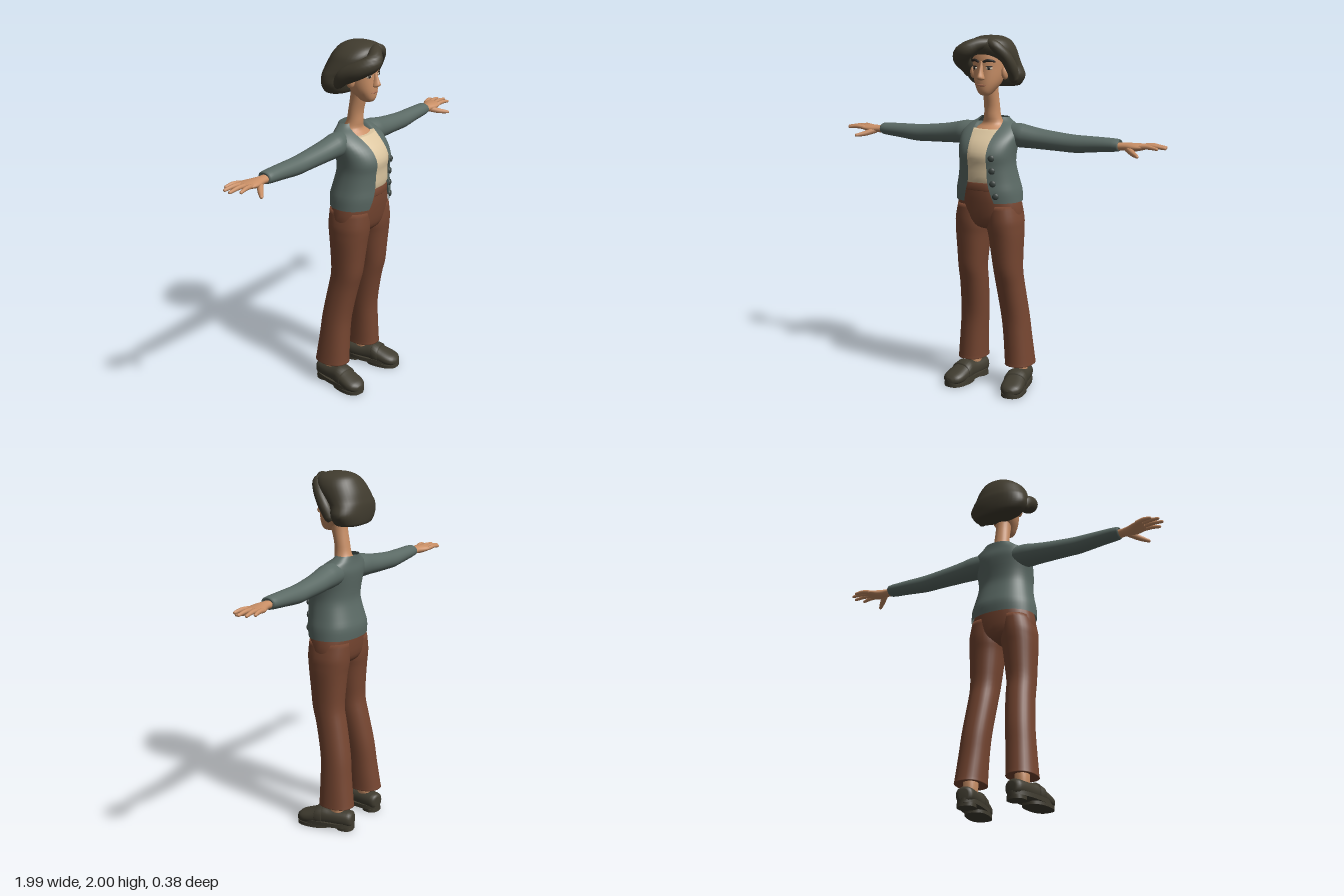
import * as THREE from 'three';
import { mergeVertices, toCreasedNormals } from 'three/addons/utils/BufferGeometryUtils.js';

const mat = (name, color, side = THREE.FrontSide) => {
  const m = new THREE.MeshStandardMaterial({ color, side });
  m.name = name;
  return m;
};

// Smooth in-between rows through a short list of key rows
function smoothRows(rows, steps) {
  const out = [];
  for (let i = 0; i < rows.length - 1; i++) {
    const p = rows[Math.max(i - 1, 0)], q = rows[i], r = rows[i + 1], s = rows[Math.min(i + 2, rows.length - 1)];
    for (let k = 0; k < steps; k++) {
      const t = k / steps;
      out.push(q.map((b, c) => {
        const cubic = 3 * (b - r[c]) + s[c] - p[c];
        const square = 2 * p[c] - 5 * b + 4 * r[c] - s[c];
        return b + 0.5 * t * (r[c] - p[c] + t * (square + t * cubic));
      }));
    }
  }
  out.push(rows[rows.length - 1]);
  return out;
}

// Skin a list of equal-length point rings; closed rings get end caps
function skin(rings, closed = true) {
  const n = rings[0].length, pos = rings.flat(2), idx = [];
  const cols = closed ? n : n - 1;
  for (let i = 0; i < rings.length - 1; i++) for (let j = 0; j < cols; j++) {
    const a = i * n + j, b = i * n + (j + 1) % n;
    idx.push(a, b, b + n, a, b + n, a + n);
  }
  if (closed) [0, rings.length - 1].forEach((i) => {
    const c = pos.length / 3;
    pos.push(...[0, 1, 2].map((k) => rings[i].reduce((sum, p) => sum + p[k], 0) / n));
    for (let j = 0; j < n; j++) {
      const a = i * n + j, b = i * n + (j + 1) % n;
      idx.push(...(i ? [a, b, c] : [b, a, c]));
    }
  });
  const g = new THREE.BufferGeometry();
  g.setAttribute('position', new THREE.Float32BufferAttribute(pos, 3));
  g.setIndex(idx);
  g.computeVertexNormals();
  return g;
}

// Loft of rounded ovals up the y axis; row = [y, cx, cz, rx, rz, optional half width of front opening]
function loft(rows, { steps = 3, n = 28, e = 0.88 } = {}) {
  const open = rows[0].length > 5;
  const pw = (v) => Math.sign(v) * Math.abs(v) ** e;
  const rings = smoothRows(rows, steps).map(([y, cx, cz, rx, rz, w]) => {
    const a0 = open ? Math.asin(Math.min(1, (w / rx) ** (1 / e))) : 0;
    return Array.from({ length: n }, (_, j) => {
      const a = open ? a0 + (2 * Math.PI - 2 * a0) * j / (n - 1) : 2 * Math.PI * j / n;
      return [cx + rx * pw(Math.sin(a)), y, cz + rz * pw(Math.cos(a))];
    });
  });
  return skin(rings, !open);
}
// Loft along x; row = [x, cy, cz, ry, rz]
const loftX = (rows, o) => loft(rows.map(([x, cy, ...r]) => [x, -cy, ...r]), o).rotateZ(-Math.PI / 2);
// Loft along z; row = [z, cy, rx, ry]
const loftZ = (rows, o) => loft(rows.map(([z, cy, rx, ry]) => [z, 0, -cy, rx, ry]), o).rotateX(Math.PI / 2);

// Tapered rounded strand; point = [x, y, z, radius]
function strand(points, n = 12) {
  const keys = smoothRows(points, 5);
  const at = (i) => new THREE.Vector3(...keys[Math.max(0, Math.min(i, keys.length - 1))].slice(0, 3));
  const rings = [];
  keys.forEach((k, i) => {
    const dir = at(i + 1).sub(at(i - 1)).normalize();
    const u = new THREE.Vector3(0, 1, 0).addScaledVector(dir, -dir.y).normalize();
    const v = new THREE.Vector3().crossVectors(dir, u);
    const ring = (r, shift) => Array.from({ length: n }, (_, j) => {
      const a = 2 * Math.PI * j / n;
      return at(i).addScaledVector(u, r * Math.cos(a)).addScaledVector(v, r * Math.sin(a)).addScaledVector(dir, shift).toArray();
    });
    const r = k[3];
    if (i === 0) rings.push(ring(r * 0.6, -r * 0.6));
    rings.push(ring(r, 0));
    if (i === keys.length - 1) rings.push(ring(r * 0.6, r * 0.6));
  });
  return skin(rings);
}

const blob = (x, y, z, rx, ry, rz, yaw = 0) =>
  new THREE.SphereGeometry(1, 18, 12).scale(rx, ry, rz).rotateY(yaw).translate(x, y, z);

function mirrored(geometry) {
  const g = geometry.index ? geometry.clone() : mergeVertices(geometry);
  g.applyMatrix4(new THREE.Matrix4().makeScale(-1, 1, 1));
  const a = g.index.array;
  for (let i = 0; i < a.length; i += 3) [a[i], a[i + 1]] = [a[i + 1], a[i]];
  return g;
}

export function createModel() {
  const model = new THREE.Group();
  const skinM = mat('skin', 0xc98f66), knit = mat('cardigan grey green', 0x5b6a65, THREE.DoubleSide);
  const cream = mat('shirt cream', 0xdcc6a0), brown = mat('trouser brown', 0x764631, THREE.DoubleSide);
  const hairM = mat('hair', 0x413c2f), leather = mat('shoe leather', 0x403c30);
  const dark = mat('brow and eye dark', 0x2b2520), white = mat('eye white', 0xd6c5ae);
  const lip = mat('lips', 0xa66a50), buttonM = mat('buttons', 0x39423f);
  const add = (name, g, m) => {
    const mesh = new THREE.Mesh(g, m);
    mesh.name = name;
    model.add(mesh);
  };
  const pair = (name, g, m) => {
    add(name + 'Left', g, m);
    add(name + 'Right', mirrored(g), m);
  };

  // Torso clothing
  const torso = [
    [1.10, 0, 0, 0.19, 0.14, 0.092], [1.16, 0, 0.003, 0.186, 0.147, 0.075], [1.22, 0, 0.01, 0.172, 0.139, 0.06],
    [1.30, 0, 0.022, 0.158, 0.131, 0.057], [1.36, 0, 0.025, 0.16, 0.136, 0.057], [1.42, 0, 0.008, 0.168, 0.127, 0.06],
    [1.47, 0, -0.018, 0.172, 0.105, 0.068], [1.51, 0, -0.04, 0.15, 0.076, 0.08], [1.535, 0, -0.055, 0.108, 0.058, 0.075],
    [1.555, 0, -0.062, 0.082, 0.05, 0.062]];
  add('cardigan', loft(torso, { n: 44 }), knit);
  const shirt = torso.slice(2, 7).map(([y, x, z, rx, rz]) => [y, x, z, rx - 0.014, rz - 0.012]);
  add('shirt', loft([[1.17, 0, 0.004, 0.13, 0.11], ...shirt, [1.492, 0, -0.026, 0.12, 0.079]]), cream);
  [[0.086, 1.35, 0.147], [0.086, 1.28, 0.14], [0.09, 1.21, 0.137], [0.104, 1.14, 0.13]].forEach(([x, y, z], i) =>
    add('button' + (i + 1), blob(x, y, z, 0.018, 0.018, 0.009, 0.35), buttonM));
  pair('sleeve', loftX([
    [0.08, 1.465, -0.045, 0.06, 0.06], [0.17, 1.46, -0.04, 0.066, 0.068], [0.22, 1.455, -0.042, 0.061, 0.065],
    [0.3, 1.446, -0.048, 0.055, 0.06], [0.42, 1.437, -0.053, 0.05, 0.053], [0.5, 1.433, -0.055, 0.048, 0.05],
    [0.62, 1.438, -0.057, 0.041, 0.046], [0.735, 1.442, -0.057, 0.033, 0.042], [0.737, 1.442, -0.057, 0.02, 0.025]],
  { e: 1 }), knit);

  // Trousers
  add('trouserHips', loft([
    [0.935, 0, -0.005, 0.03, 0.04], [0.955, 0, -0.004, 0.11, 0.09], [1.0, 0, -0.004, 0.185, 0.117],
    [1.1, 0, 0, 0.181, 0.13], [1.16, 0, 0.004, 0.155, 0.131], [1.2, 0, 0.006, 0.14, 0.129]]), brown);
  add('waistband', loft([[1.165, 0, 0.005, 0.148, 0.13], [1.17, 0, 0.005, 0.152, 0.136],
    [1.205, 0, 0.006, 0.143, 0.135], [1.21, 0, 0.006, 0.135, 0.125]], { steps: 1 }), brown);
  pair('trouserLeg', loft([
    [0.15, 0.152, -0.086, 0.05, 0.05], [0.138, 0.152, -0.086, 0.079, 0.098], [0.16, 0.151, -0.085, 0.08, 0.099],
    [0.3, 0.141, -0.076, 0.077, 0.089], [0.43, 0.13, -0.066, 0.077, 0.085], [0.6, 0.117, -0.033, 0.077, 0.086],
    [0.7, 0.113, -0.01, 0.078, 0.09], [0.8, 0.108, -0.005, 0.085, 0.098], [0.9, 0.104, -0.003, 0.093, 0.108],
    [0.95, 0.099, -0.003, 0.098, 0.115], [1.0, 0.097, -0.003, 0.098, 0.119], [1.08, 0.088, -0.003, 0.09, 0.118]]), brown);
  pair('ankle', loft([[0.06, 0.153, -0.092, 0.038, 0.045], [0.2, 0.152, -0.088, 0.038, 0.042]], { steps: 1 }), skinM);

  // Loafers, turned slightly outward
  const shoe = (name, g) => pair(name, g.rotateY(0.17).translate(0.155, 0, -0.09), leather);
  shoe('shoeUpper', loftZ([
    [-0.1, 0.06, 0.025, 0.03], [-0.085, 0.063, 0.047, 0.044], [-0.03, 0.063, 0.054, 0.047], [0.03, 0.063, 0.055, 0.05],
    [0.08, 0.065, 0.058, 0.055], [0.13, 0.055, 0.063, 0.046], [0.18, 0.045, 0.063, 0.038], [0.215, 0.04, 0.05, 0.029],
    [0.235, 0.035, 0.02, 0.015]]));
  shoe('shoeStrap', loftZ([[0.075, 0.065, 0.056, 0.052], [0.08, 0.066, 0.063, 0.06], [0.118, 0.06, 0.066, 0.054],
    [0.123, 0.058, 0.06, 0.045]], { steps: 1 }));
  const slab = (y0, y1, z, rx, rz) => toCreasedNormals(
    loft([[y0, 0, z, rx, rz], [y1, 0, z, rx, rz]], { steps: 1, e: 0.8 }), 0.7);
  shoe('shoeSole', slab(0.018, 0.042, 0.068, 0.066, 0.17));
  shoe('shoeHeel', slab(0, 0.02, -0.052, 0.05, 0.048));
  shoe('shoeForesole', slab(0, 0.02, 0.135, 0.065, 0.1));

  // Hands
  pair('palm', loftX([
    [0.72, 1.435, -0.058, 0.022, 0.028], [0.77, 1.437, -0.058, 0.021, 0.03], [0.81, 1.436, -0.061, 0.023, 0.042],
    [0.845, 1.438, -0.068, 0.02, 0.052], [0.88, 1.441, -0.073, 0.014, 0.052], [0.893, 1.442, -0.073, 0.006, 0.045]],
  { e: 1 }), skinM);
  [[-0.114, 0.945, -0.131], [-0.089, 0.981, -0.106], [-0.061, 0.99, -0.065], [-0.034, 0.96, -0.02]].forEach(([z0, x1, z1], i) =>
    pair('finger' + (i + 1), strand([[0.86, 1.441, z0, 0.012], [(0.86 + x1) / 2, 1.446, (z0 + z1) / 2, 0.0115], [x1, 1.44, z1, 0.008]], 10), skinM));
  pair('thumb', strand([[0.79, 1.43, -0.045, 0.018], [0.835, 1.412, -0.004, 0.015], [0.875, 1.402, 0.035, 0.009]], 10), skinM);

  // Neck and head
  add('neck', loft([
    [1.46, 0, -0.02, 0.12, 0.08], [1.49, 0, -0.03, 0.1, 0.07], [1.52, 0, -0.042, 0.064, 0.054], [1.56, 0, -0.032, 0.048, 0.046],
    [1.62, 0, -0.025, 0.044, 0.042], [1.7, 0, -0.008, 0.043, 0.047], [1.76, 0, 0, 0.05, 0.05]], { e: 1 }), skinM);
  add('head', loft([
    [1.678, 0, 0.05, 0.016, 0.018], [1.685, 0, 0.048, 0.03, 0.036], [1.705, 0, 0.04, 0.045, 0.056], [1.74, 0, 0.02, 0.066, 0.08],
    [1.78, 0, 0, 0.08, 0.1], [1.83, 0, -0.01, 0.088, 0.108], [1.88, 0, -0.014, 0.092, 0.113],
    [1.93, 0, -0.02, 0.087, 0.108], [1.965, 0, -0.02, 0.06, 0.08]]), skinM);
  add('nose', loft([
    [1.763, 0, 0.098, 0.008, 0.008], [1.769, 0, 0.102, 0.021, 0.02], [1.78, 0, 0.104, 0.02, 0.027], [1.805, 0, 0.1, 0.013, 0.021],
    [1.84, 0, 0.094, 0.01, 0.014], [1.865, 0, 0.09, 0.009, 0.01]], { n: 14, e: 1 }), skinM);
  add('mouth', blob(0, 1.735, 0.097, 0.029, 0.005, 0.006), lip);
  pair('ear', blob(0.098, 1.8, 0.008, 0.018, 0.036, 0.024, -0.3), skinM);
  pair('eyeWhite', blob(0.044, 1.827, 0.0885, 0.018, 0.0085, 0.006, 0.42), white);
  pair('iris', blob(0.044, 1.827, 0.0925, 0.008, 0.0085, 0.004, 0.42), dark);
  pair('upperLid', blob(0.045, 1.836, 0.0895, 0.021, 0.0035, 0.006, 0.42), dark);
  pair('eyebrow', strand([[0.016, 1.862, 0.1, 0.0065], [0.042, 1.87, 0.094, 0.0075], [0.07, 1.863, 0.073, 0.005]], 8), dark);

  // Bob hair with a side parting
  add('hairBob', loft([
    [1.722, 0, -0.1, 0.1, 0.05], [1.728, -0.003, -0.096, 0.132, 0.066], [1.745, -0.008, -0.092, 0.155, 0.077],
    [1.785, -0.01, -0.088, 0.176, 0.086], [1.83, -0.016, -0.08, 0.166, 0.094], [1.86, -0.014, -0.058, 0.158, 0.11],
    [1.9, -0.008, -0.03, 0.148, 0.126], [1.94, -0.003, -0.012, 0.133, 0.124], [1.975, 0.005, -0.004, 0.1, 0.106],
    [1.995, 0.005, -0.005, 0.055, 0.062], [2.0, 0.005, -0.005, 0.01, 0.01]], { n: 36 }), hairM);
  add('sweptFringe', strand([
    [0.045, 1.962, 0.065, 0.024], [-0.02, 1.952, 0.11, 0.036], [-0.08, 1.916, 0.138, 0.046],
    [-0.128, 1.879, 0.085, 0.048], [-0.143, 1.835, 0.0, 0.044], [-0.145, 1.79, -0.04, 0.03]], 16), hairM);
  add('sideLock', strand([
    [0.035, 1.963, 0.075, 0.025], [0.075, 1.944, 0.078, 0.03], [0.113, 1.895, 0.045, 0.032],
    [0.132, 1.825, 0.0, 0.033], [0.132, 1.765, -0.03, 0.026]], 16), hairM);

  return model;
}
